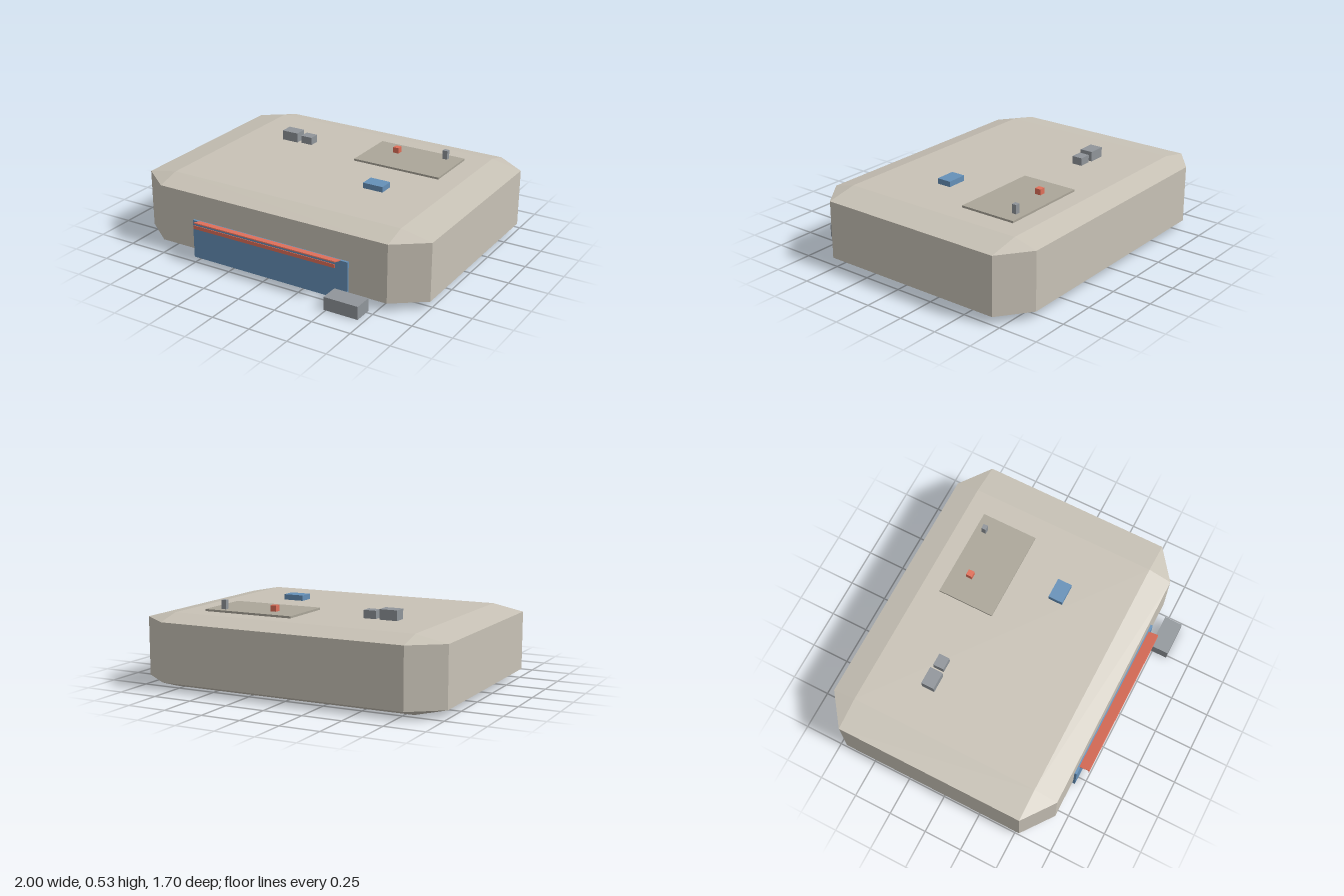
import * as THREE from 'three';
import { ConvexGeometry } from 'three/addons/geometries/ConvexGeometry.js';

const paint = (color) => new THREE.MeshStandardMaterial({ color, flatShading: true });

export function createModel() {
  const model = new THREE.Group();
  const stone = paint(0xc8c2b6), slab = paint(0xaba699), blue = paint(0x6590b8);
  const red = paint(0xe0705a), grey = paint(0x90959a);

  function add(name, geometry, material) {
    const mesh = new THREE.Mesh(geometry, material);
    mesh.name = name;
    model.add(mesh);
    return mesh;
  }

  // Box given by its lower and upper limits on each axis
  function box(name, material, [x0, x1], [y0, y1], [z0, z1]) {
    const mesh = add(name, new THREE.BoxGeometry(x1 - x0, y1 - y0, z1 - z0), material);
    mesh.position.set((x0 + x1) / 2, (y0 + y1) / 2, (z0 + z1) / 2);
    return mesh;
  }

  // Main building: rectangular floor and roof, octagonal wall rings between them
  const points = [];
  for (const sx of [-1, 1]) {
    for (const [zIn, zOut] of [[0.53, 0.68], [-0.7, -0.85]]) {
      for (const y of [0, 0.46]) points.push(new THREE.Vector3(sx * 0.8, y, zIn));
      for (const y of [0.05, 0.42]) {
        points.push(new THREE.Vector3(sx, y, zIn), new THREE.Vector3(sx * 0.8, y, zOut));
      }
    }
  }
  add('building', new ConvexGeometry(points), stone);

  // Entrance wall with its sloping canopy and hanging valance
  box('entrance', blue, [-0.55, 0.55], [0, 0.25], [0.67, 0.695]);
  const canopy = box('canopy', red, [-0.5, 0.5], [0.254, 0.26], [0.688, 0.754]);
  canopy.rotation.x = -0.25;
  box('canopyValance', red, [-0.5, 0.5], [0.227, 0.25], [0.751, 0.755]);

  // Block standing beside the entrance
  box('kerbBlock', grey, [0.485, 0.71], [0, 0.083], [0.73, 0.85]);

  // Roof deck and rooftop equipment
  box('roofDeck', slab, [0.06, 0.66], [0.455, 0.473], [-0.58, -0.21]);
  box('deckUnit', red, [0.22, 0.26], [0.47, 0.51], [-0.475, -0.435]);
  box('chimney', grey, [0.54, 0.573], [0.47, 0.53], [-0.535, -0.505]);
  box('skylight', blue, [0.33, 0.465], [0.455, 0.495], [0.05, 0.145]);
  box('largeVent', grey, [-0.54, -0.425], [0.455, 0.523], [-0.375, -0.29]);
  box('smallVent', grey, [-0.4, -0.32], [0.455, 0.51], [-0.37, -0.3]);

  return model;
}
